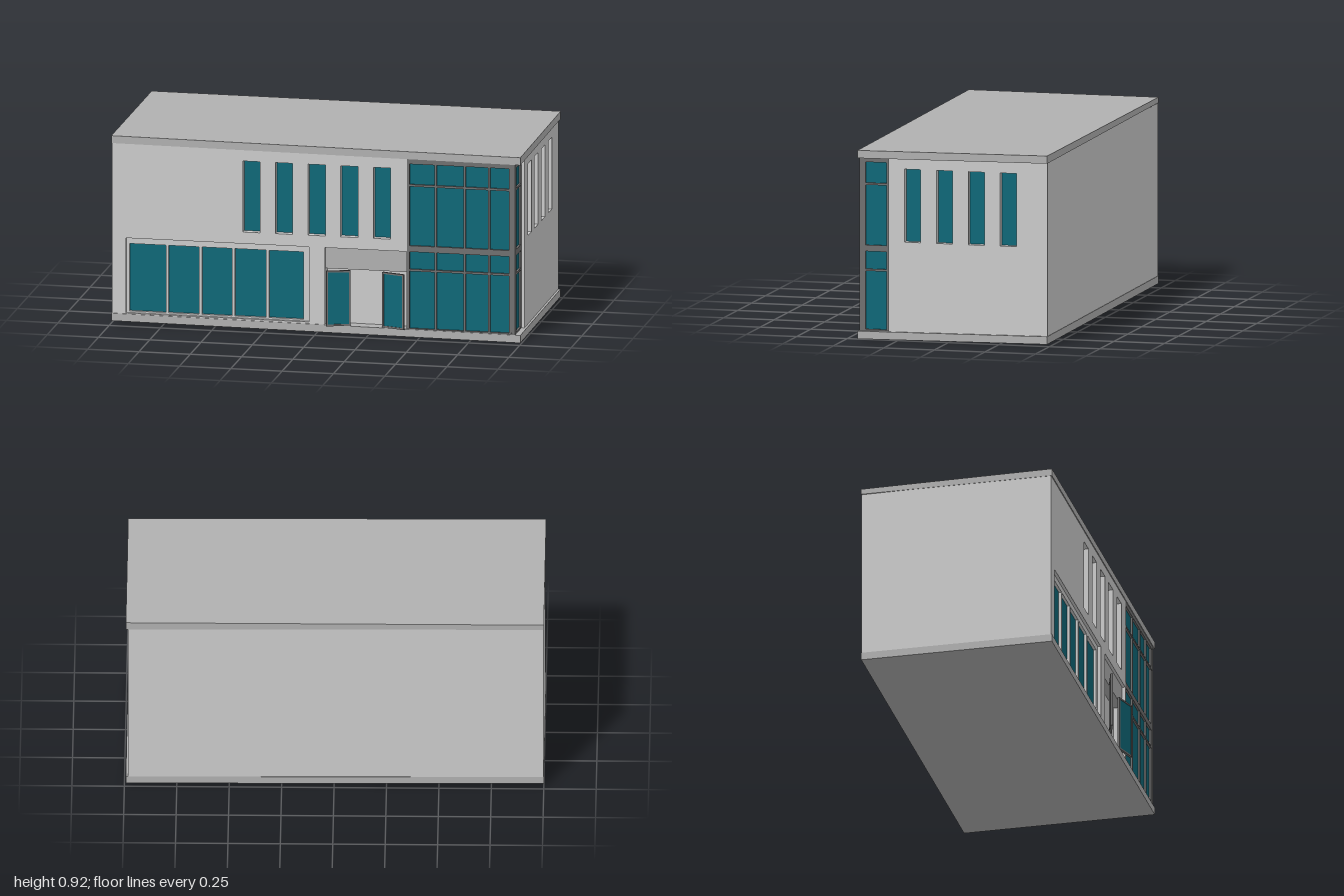
import * as THREE from 'three';

const mat = (color) => new THREE.MeshStandardMaterial({ color });

// Rectangle as [x0, y0, x1, y1]
function rectPath(path, [x0, y0, x1, y1]) {
  path.moveTo(x0, y0);
  path.lineTo(x1, y0);
  path.lineTo(x1, y1);
  path.lineTo(x0, y1);
  path.closePath();
  return path;
}

export function createModel() {
  const model = new THREE.Group();
  model.name = 'officeBuilding';
  const wall = mat(0xcccccc), trim = mat(0xb0b0b0), frame = mat(0x707070), glass = mat(0x0f6878);

  function add(parent, name, geometry, material) {
    const mesh = new THREE.Mesh(geometry, material);
    mesh.name = name;
    parent.add(mesh);
    return mesh;
  }

  // Box given by its lower and upper corners
  function box(parent, name, a, b, material) {
    const g = new THREE.BoxGeometry(b[0] - a[0], b[1] - a[1], b[2] - a[2]);
    g.translate((a[0] + b[0]) / 2, (a[1] + b[1]) / 2, (a[2] + b[2]) / 2);
    return add(parent, name, g, material);
  }

  // Upright panel with rectangular openings, from z0 to z1
  function panel(parent, name, outline, holes, z0, z1, material) {
    const shape = rectPath(new THREE.Shape(), outline);
    holes.forEach((h) => shape.holes.push(rectPath(new THREE.Path(), h)));
    const g = new THREE.ExtrudeGeometry(shape, { depth: z1 - z0, bevelEnabled: false });
    g.translate(0, 0, z0);
    return add(parent, name, g, material);
  }

  // One thin pane per opening, with its outer face at z
  function panes(parent, name, holes, z) {
    holes.forEach(([x0, y0, x1, y1]) => box(parent, name, [x0, y0, z - 0.01], [x1, y1, z], glass));
  }

  // Base and roof slabs, leaning very slightly
  function slab(name, y0, y1, yMax) {
    const mesh = box(model, name, [-1, y0, -0.487], [0.993, y1, 0.451], trim);
    const p = mesh.geometry.attributes.position;
    for (let i = 0; i < p.count; i++) {
      const y = p.getY(i) + 0.0105 - 0.006 * p.getX(i) - 0.01 * p.getZ(i);
      p.setY(i, Math.min(y, yMax));
    }
    mesh.geometry.computeVertexNormals();
  }
  slab('baseSlab', 0, 0.037, 1);
  slab('roofSlab', 0.871, 0.908, 0.919);

  // Solid core behind the walls
  box(model, 'buildingCore', [-0.998, 0.025, -0.485], [0.44, 0.89, 0.388], wall);
  box(model, 'rearCore', [0.43, 0.025, -0.485], [0.925, 0.89, 0.298], wall);

  // Front wall with upper windows, shop window and entrance
  const upper = [];
  for (let i = 0; i < 5; i++) {
    const x = -0.318 + i * 0.159;
    upper.push([x - 0.042, 0.477, x + 0.042, 0.825]);
  }
  const shop = [-0.93, 0.052, -0.037, 0.42], entrance = [0.04, 0.03, 0.437, 0.42];
  panel(model, 'frontWall', [-0.998, 0.025, 0.44, 0.89], [...upper, shop, entrance], 0.388, 0.447, wall);
  panes(model, 'upperWindow', upper, 0.412);

  // Shop window frame and panes
  const shopPanes = [[-0.915, -0.738], [-0.725, -0.577], [-0.562, -0.415], [-0.402, -0.25], [-0.235, -0.068]]
    .map(([a, b]) => [a, 0.06, b, 0.39]);
  panel(model, 'shopWindowFrame', shop, shopPanes, 0.39, 0.432, wall);
  panes(model, 'shopWindowPane', shopPanes, 0.418);

  // Entrance header and the two doors standing ajar
  box(model, 'entranceHeader', [0.04, 0.316, 0.388], [0.437, 0.42, 0.432], trim);
  for (const side of [-1, 1]) {
    const door = new THREE.Group();
    door.name = side < 0 ? 'rightDoor' : 'leftDoor';
    const opening = [-0.05, 0.052, 0.05, 0.306];
    panel(door, 'doorFrame', [-0.058, 0.043, 0.058, 0.314], [opening], -0.006, 0.006, frame);
    box(door, 'doorGlass', [-0.05, 0.052, -0.003], [0.05, 0.306, 0.003], glass);
    door.position.set(0.242 + side * 0.134, 0, 0.46);
    door.rotation.y = -side * 0.3;
    model.add(door);
  }

  // Glazed corner: front and side share the same rows
  const rows = [[0.045, 0.325], [0.335, 0.42], [0.45, 0.74], [0.75, 0.85]];
  const grid = (columns) => columns.flatMap(([a, b]) => rows.map(([c, d]) => [a, c, b, d]));
  const frontPanes = grid([[0.452, 0.575], [0.585, 0.715], [0.725, 0.835], [0.845, 0.953]]);
  panel(model, 'cornerFrontFrame', [0.44, 0.03, 0.967, 0.885], frontPanes, 0.418, 0.448, frame);
  panes(model, 'cornerFrontPane', frontPanes, 0.438);

  // Side facing +x, drawn with its horizontal axis along -z
  const sideGroup = new THREE.Group();
  sideGroup.name = 'leftSide';
  sideGroup.rotation.y = Math.PI / 2;
  model.add(sideGroup);
  const sidePanes = grid([[-0.435, -0.315]]);
  panel(sideGroup, 'cornerSideFrame', [-0.447, 0.03, -0.29, 0.885], sidePanes, 0.937, 0.967, frame);
  panes(sideGroup, 'cornerSidePane', sidePanes, 0.957);

  const sideWindows = [];
  for (let i = 0; i < 4; i++) {
    const u = -0.182 + i * 0.158;
    sideWindows.push([u - 0.04, 0.473, u + 0.04, 0.825]);
  }
  panel(sideGroup, 'sideWall', [-0.3, 0.025, 0.485, 0.89], sideWindows, 0.92, 0.982, wall);
  panes(sideGroup, 'sideWindow', sideWindows, 0.947);

  return model;
}
